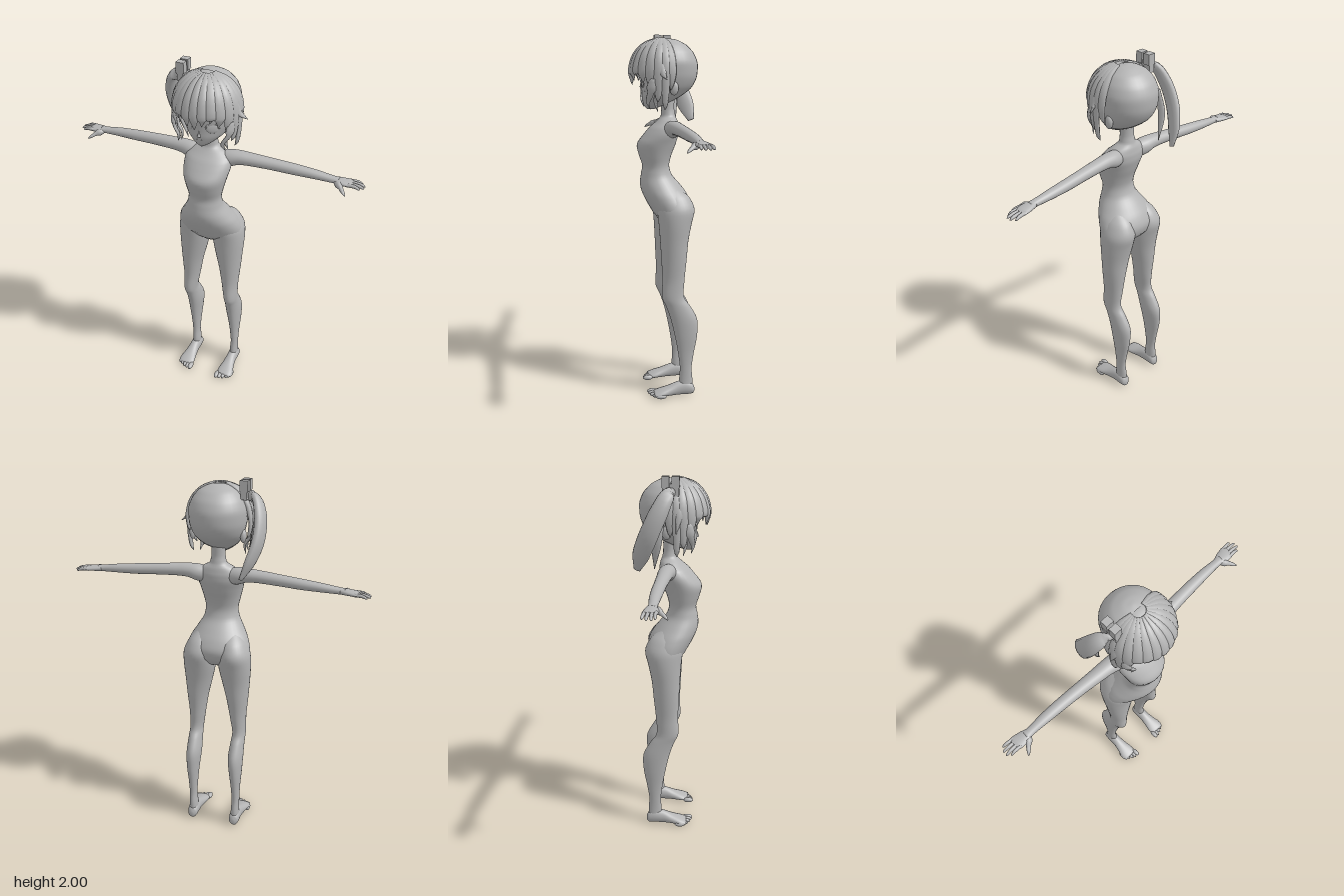
import * as THREE from 'three';

const grey = new THREE.MeshStandardMaterial({ color: 0xb4b4b4, side: THREE.DoubleSide });
grey.name = 'plain grey';
const V = (x, y, z) => new THREE.Vector3(x, y, z);
const HEAD = V(0, 1.79, 0);

function add(parent, name, geometry, pos = [0, 0, 0]) {
  const m = new THREE.Mesh(geometry, grey);
  m.name = name;
  m.position.set(...pos);
  parent.add(m);
  return m;
}

// Smooth closed skin through rows [x, y, z, halfWidth, halfDepth].
// t fixes the ring direction, n the depth direction; otherwise they follow the path.
function loft(rows, { t, n, steps = 24, sides = 24 } = {}) {
  const path = new THREE.CatmullRomCurve3(rows.map(r => V(r[0], r[1], r[2])));
  const size = new THREE.CatmullRomCurve3(rows.map(r => V(r[3], r[4], 0)));
  const pos = [], idx = [];
  for (let j = 0; j <= steps; j++) {
    const c = path.getPoint(j / steps), s = size.getPoint(j / steps);
    const dir = t || path.getTangent(j / steps);
    const out = n ? n.clone() : c.clone().sub(HEAD);
    out.addScaledVector(dir, -out.dot(dir)).normalize();
    const side = dir.clone().cross(out);
    for (let i = 0; i < sides; i++) {
      const a = i / sides * Math.PI * 2;
      const p = c.clone().addScaledVector(side, Math.cos(a) * s.x).addScaledVector(out, Math.sin(a) * s.y);
      pos.push(p.x, p.y, p.z);
      if (j < steps) {
        const k = j * sides + i, l = j * sides + (i + 1) % sides;
        idx.push(k, k + sides, l, l, k + sides, l + sides);
      }
    }
  }
  // end caps
  const first = path.getPoint(0), last = path.getPoint(1), base = pos.length / 3;
  pos.push(first.x, first.y, first.z, last.x, last.y, last.z);
  for (let i = 0; i < sides; i++) {
    const k = (i + 1) % sides;
    idx.push(base, i, k, base + 1, steps * sides + k, steps * sides + i);
  }
  const g = new THREE.BufferGeometry();
  g.setAttribute('position', new THREE.Float32BufferAttribute(pos, 3));
  g.setIndex(idx);
  g.computeVertexNormals();
  return g;
}

// Upright skin from rows [y, front z, back z, centre x, half width].
const UP = V(0, 1, 0), FRONT = V(0, 0, 1);
const upright = (rows, steps) => loft(
  rows.map(([y, f, b, x, w]) => [x, y, (f + b) / 2, w, (f - b) / 2]),
  { t: UP, n: FRONT, steps, sides: 32 });

function buildLimbs(body, s) {
  const name = s > 0 ? 'left' : 'right';

  // leg
  add(body, name + 'Leg', upright([
    [0.04, -0.06, -0.135, s * 0.128, 0.026], [0.1, -0.06, -0.135, s * 0.128, 0.023],
    [0.16, -0.063, -0.13, s * 0.13, 0.021], [0.25, -0.053, -0.142, s * 0.129, 0.025],
    [0.35, -0.035, -0.16, s * 0.128, 0.034], [0.45, -0.012, -0.16, s * 0.125, 0.041],
    [0.53, 0.015, -0.118, s * 0.126, 0.038], [0.58, 0.037, -0.085, s * 0.127, 0.037],
    [0.68, 0.035, -0.088, s * 0.12, 0.045], [0.8, 0.04, -0.1, s * 0.115, 0.061],
    [0.9, 0.045, -0.11, s * 0.107, 0.077], [1.0, 0.052, -0.13, s * 0.1, 0.09],
    [1.07, 0.06, -0.145, s * 0.098, 0.088], [1.14, 0.05, -0.115, s * 0.09, 0.065],
    [1.19, 0.02, -0.05, s * 0.08, 0.03]], 56));

  // foot and toes
  const foot = new THREE.Group();
  foot.name = name + 'Foot';
  body.add(foot);
  add(foot, 'sole', loft([
    [s * 0.128, 0.03, -0.146, 0.01, 0.014], [s * 0.128, 0.036, -0.135, 0.026, 0.032],
    [s * 0.128, 0.045, -0.1, 0.031, 0.043], [s * 0.128, 0.041, -0.05, 0.031, 0.039],
    [s * 0.129, 0.031, 0, 0.038, 0.029], [s * 0.13, 0.022, 0.05, 0.047, 0.02],
    [s * 0.13, 0.016, 0.085, 0.042, 0.012]], { t: FRONT, n: UP }));
  for (let i = 0; i < 5; i++) {
    const toe = add(foot, 'toe', new THREE.SphereGeometry(1, 12, 8),
      [s * (0.09 + i * 0.02), 0.016 - i * 0.0008, 0.09 - i * i * 0.0026]);
    toe.scale.set(i ? 0.011 : 0.015, i ? 0.013 : 0.015, 0.03);
  }

  // arm
  const along = { t: V(s, 0, 0), n: UP };
  add(body, name + 'Arm', loft([
    [s * 0.05, 1.5, -0.015, 0.035, 0.04], [s * 0.11, 1.506, -0.022, 0.046, 0.045],
    [s * 0.16, 1.515, -0.027, 0.042, 0.037], [s * 0.22, 1.515, -0.032, 0.038, 0.033],
    [s * 0.34, 1.509, -0.042, 0.033, 0.03], [s * 0.45, 1.502, -0.05, 0.031, 0.028],
    [s * 0.56, 1.496, -0.055, 0.027, 0.023], [s * 0.64, 1.49, -0.056, 0.022, 0.018],
    [s * 0.675, 1.488, -0.057, 0.025, 0.016]], { ...along, steps: 32 }));

  // hand
  const hand = new THREE.Group();
  hand.name = name + 'Hand';
  body.add(hand);
  add(hand, 'palm', loft([
    [s * 0.65, 1.489, -0.057, 0.022, 0.016], [s * 0.69, 1.487, -0.058, 0.034, 0.015],
    [s * 0.725, 1.485, -0.062, 0.037, 0.013], [s * 0.742, 1.484, -0.064, 0.033, 0.009]], along));
  const tips = [[0.785, -0.036], [0.803, -0.052], [0.803, -0.074], [0.788, -0.094]];
  tips.forEach(([x, z], i) => add(hand, 'finger', loft([
    [s * 0.72, 1.485, -0.036 - i * 0.017, 0.009, 0.01],
    [s * (x + 0.735) / 2, 1.484, z * 0.5 - 0.019 - i * 0.0085, 0.0085, 0.009],
    [s * (x - 0.008), 1.478, z, 0.0065, 0.007], [s * x, 1.475, z, 0.002, 0.002]],
    { ...along, steps: 9, sides: 10 })));
  add(hand, 'thumb', loft([
    [s * 0.66, 1.485, -0.045, 0.012, 0.012], [s * 0.69, 1.477, -0.02, 0.012, 0.012],
    [s * 0.713, 1.463, 0.004, 0.009, 0.008], [s * 0.726, 1.454, 0.016, 0.003, 0.003]],
    { n: UP, steps: 10, sides: 10 }));
}

function buildHead(head) {
  add(head, 'skull', upright([
    [1.608, 0.1, 0.06, 0, 0.012], [1.628, 0.117, 0.01, 0, 0.047], [1.67, 0.127, -0.075, 0, 0.097],
    [1.72, 0.128, -0.14, 0, 0.13], [1.78, 0.132, -0.17, 0, 0.148], [1.84, 0.13, -0.174, 0, 0.152],
    [1.9, 0.112, -0.153, 0, 0.135], [1.945, 0.075, -0.11, 0, 0.098],
    [1.97, 0.025, -0.06, 0, 0.047], [1.976, -0.01, -0.025, 0, 0.008]], 40));
  add(head, 'nose', new THREE.ConeGeometry(0.01, 0.03, 8), [0, 1.69, 0.128]);
  add(head, 'mouth', new THREE.BoxGeometry(0.03, 0.003, 0.006), [0, 1.655, 0.122]);
  for (const s of [-1, 1]) {
    const eye = add(head, 'eye', new THREE.SphereGeometry(1, 20, 12), [s * 0.064, 1.722, 0.107]);
    eye.scale.set(0.03, 0.026, 0.006);
    eye.rotation.y = s * 0.5;
    const lid = add(head, 'eyelid', new THREE.TorusGeometry(0.033, 0.004, 6, 16, Math.PI), [s * 0.064, 1.722, 0.109]);
    lid.scale.y = 0.85;
    lid.rotation.y = s * 0.5;
    const ear = add(head, 'ear', new THREE.SphereGeometry(1, 12, 10), [s * 0.136, 1.72, -0.025]);
    ear.scale.set(0.016, 0.036, 0.024);
  }
}

function buildHair(hair) {
  // front cap under the strands
  const cap = add(hair, 'fringeCap',
    new THREE.SphereGeometry(1, 32, 14, 0, Math.PI, 0, 1.3), [0, 1.79, 0.012]);
  cap.scale.set(0.16, 0.188, 0.163);

  // strands fanning from the crown: [angle from front, tip height, half width]
  const strands = [
    [-98, 1.7, 0.026], [-86, 1.6, 0.026], [-74, 1.64, 0.03], [-60, 1.7, 0.03], [-45, 1.755, 0.03],
    [-30, 1.77, 0.028], [-15, 1.745, 0.027], [0, 1.735, 0.026], [14, 1.755, 0.027], [29, 1.77, 0.028],
    [44, 1.745, 0.03], [60, 1.71, 0.03], [74, 1.65, 0.03], [87, 1.61, 0.026], [98, 1.71, 0.026]];
  for (const [deg, tip, w] of strands) {
    const f = deg * Math.PI / 180;
    const at = (a, width, thick) => [0.17 * Math.sin(a) * Math.sin(f), 1.79 + 0.187 * Math.cos(a),
      0.018 + 0.172 * Math.sin(a) * Math.cos(f), width, thick];
    const low = at(1.5, w, 0.011);
    add(hair, 'strand', loft([
      at(0.2, 0.01, 0.007), at(0.6, w * 0.8, 0.011), at(1.05, w, 0.014), low,
      [low[0] * 0.96, tip + 0.03, low[2] * 0.96, w * 0.55, 0.009],
      [low[0] * 0.88, tip, low[2] * 0.94, 0.001, 0.001]], { steps: 18, sides: 8 }));
  }
  // flicked side tips
  for (const [x, y, s] of [[0.215, 1.765, 1], [0.195, 1.79, 1], [-0.185, 1.72, -1]]) {
    add(hair, 'flick', loft([
      [s * 0.1, 1.92, 0.06, 0.015, 0.008], [s * 0.155, 1.85, 0.05, 0.024, 0.011],
      [s * 0.175, 1.8, 0.04, 0.018, 0.009], [x, y, 0.025, 0.001, 0.001]], { steps: 12, sides: 8 }));
  }
  // loose locks beside the jaw
  for (const s of [-1, 1]) for (const dz of [0, 0.04]) {
    add(hair, 'sideLock', loft([
      [s * 0.155, 1.77, 0.05 + dz, 0.018, 0.009], [s * 0.148, 1.7, 0.06 + dz, 0.018, 0.009],
      [s * 0.118, 1.65, 0.07 + dz, 0.012, 0.007], [s * 0.128, 1.6 + dz / 3, 0.06 + dz, 0.001, 0.001]],
      { steps: 12, sides: 8 }));
  }
  // side ponytail
  add(hair, 'ponytail', loft([
    [-0.14, 1.92, 0.01, 0.02, 0.015], [-0.195, 1.915, -0.015, 0.037, 0.022],
    [-0.232, 1.83, -0.06, 0.048, 0.028], [-0.235, 1.72, -0.11, 0.05, 0.027],
    [-0.205, 1.62, -0.15, 0.046, 0.02], [-0.165, 1.535, -0.175, 0.018, 0.006]],
    { n: V(-1, 0, -0.25), steps: 24, sides: 12 }));
  add(hair, 'ponytailTip', loft([
    [-0.2, 1.8, -0.04, 0.01, 0.008], [-0.195, 1.68, -0.07, 0.025, 0.012],
    [-0.16, 1.54, -0.085, 0.002, 0.002]], { n: V(-1, 0, 0), steps: 12, sides: 8 }));
  // hair tie
  for (const z of [-0.028, 0.022]) add(hair, 'hairTie', new THREE.BoxGeometry(0.042, 0.055, 0.038), [-0.14, 1.9725, z]);
  add(hair, 'hairTieBand', new THREE.BoxGeometry(0.032, 0.06, 0.085), [-0.14, 1.935, -0.003]);
}

export function createModel() {
  const model = new THREE.Group();
  model.name = 'figure';
  const [body, head, hair] = ['body', 'head', 'hair'].map(name => {
    const g = new THREE.Group();
    g.name = name;
    model.add(g);
    return g;
  });
  // plain mannequin torso and neck
  add(body, 'torso', upright([
    [0.985, 0.02, -0.04, 0, 0.04], [1.01, 0.045, -0.09, 0, 0.12], [1.05, 0.075, -0.125, 0, 0.18],
    [1.1, 0.103, -0.135, 0, 0.176], [1.15, 0.127, -0.115, 0, 0.157], [1.2, 0.14, -0.078, 0, 0.126],
    [1.25, 0.135, -0.035, 0, 0.098], [1.3, 0.127, -0.02, 0, 0.09], [1.36, 0.145, -0.032, 0, 0.102],
    [1.42, 0.155, -0.055, 0, 0.117], [1.47, 0.12, -0.07, 0, 0.127], [1.51, 0.085, -0.072, 0, 0.122],
    [1.545, 0.045, -0.065, 0, 0.085], [1.57, 0.025, -0.055, 0, 0.045],
    [1.61, 0.022, -0.048, 0, 0.037], [1.68, 0.025, -0.05, 0, 0.036]], 60));
  for (const s of [-1, 1]) buildLimbs(body, s);
  buildHead(head);
  buildHair(hair);
  return model;
}
